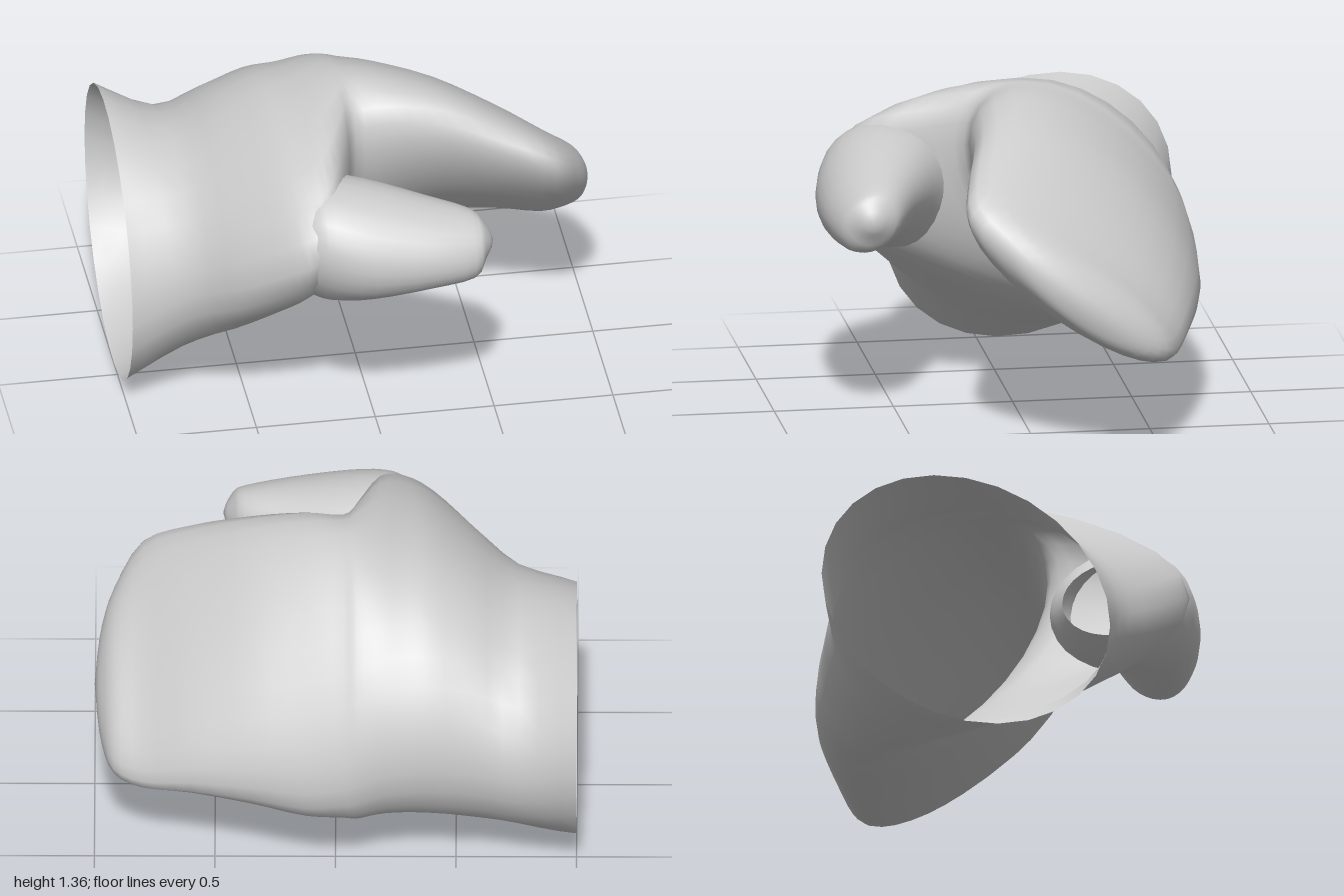
import * as THREE from 'three';

const SIDES = 28;
// the cuff is open, so the inside shows too
const material = new THREE.MeshStandardMaterial({ color: 0xcccccc, side: THREE.DoubleSide });

// Smooth skin through leaning oval sections set across the x axis.
// Each section: [x, centre z, half width z, centre y, half height y, lean, bulge to the front]
function loft(sections, steps) {
  const ease = (a, b, c, d, t) => 0.5 * (2 * b + (c - a) * t +
    (2 * a - 5 * b + 4 * c - d) * t * t + (3 * b - a - 3 * c + d) * t * t * t);
  const rows = [];
  const last = sections.length - 1;
  for (let i = 0; i < last; i++) {
    const p = [i - 1, i, i + 1, i + 2].map(k => sections[Math.min(Math.max(k, 0), last)]);
    for (let s = 0; s < steps; s++) {
      rows.push(p[1].map((_, k) => ease(p[0][k], p[1][k], p[2][k], p[3][k], s / steps)));
    }
  }
  rows.push(sections[last]);

  const positions = [], index = [];
  rows.forEach(([x, cz, hz, cy, hy, lean, bulge], i) => {
    for (let j = 0; j < SIDES; j++) {
      const t = (j / SIDES) * Math.PI * 2;
      const front = Math.max(0, Math.cos(t));
      positions.push(x, cy + hy * Math.sin(t + lean), cz + hz * Math.cos(t) + bulge * front * front);
      if (i === rows.length - 1) continue;
      const a = i * SIDES + j, b = i * SIDES + (j + 1) % SIDES;
      index.push(a, a + SIDES, b, b, a + SIDES, b + SIDES);
    }
  });

  // close the tip with a fan
  const end = rows[rows.length - 1], tip = rows.length * SIDES;
  positions.push(end[0] + 0.01, end[3], end[1]);
  for (let j = 0; j < SIDES; j++) {
    index.push(tip, tip - SIDES + (j + 1) % SIDES, tip - SIDES + j);
  }

  const geometry = new THREE.BufferGeometry();
  geometry.setAttribute('position', new THREE.Float32BufferAttribute(positions, 3));
  geometry.setIndex(index);
  geometry.computeVertexNormals();
  return geometry;
}

export function createModel() {
  const model = new THREE.Group();
  model.name = 'mitten';
  const add = (name, geometry) => {
    const mesh = new THREE.Mesh(geometry, material);
    mesh.name = name;
    model.add(mesh);
  };

  // open cuff, palm swelling into the thumb base, and the curled finger pocket
  add('handAndFingers', loft([
    [-1.00, -0.22, 0.60, 0.565, 0.565, -0.18, 0],
    [-0.76, -0.18, 0.59, 0.60, 0.48, 0.05, 0.03],
    [-0.57, -0.20, 0.55, 0.68, 0.51, 0.14, 0.25],
    [-0.40, -0.22, 0.54, 0.75, 0.53, 0.23, 0.40],
    [-0.28, -0.235, 0.53, 0.78, 0.53, 0.30, 0.46],
    [-0.18, -0.265, 0.505, 0.805, 0.535, 0.38, 0.42],
    [-0.09, -0.29, 0.49, 0.82, 0.54, 0.48, 0.16],
    [-0.03, -0.29, 0.49, 0.83, 0.53, 0.55, 0],
    [0.12, -0.285, 0.485, 0.835, 0.515, 0.65, 0],
    [0.35, -0.255, 0.475, 0.835, 0.455, 0.75, 0],
    [0.60, -0.19, 0.47, 0.79, 0.39, 0.85, 0],
    [0.80, -0.14, 0.44, 0.725, 0.345, 0.95, 0],
    [0.92, -0.18, 0.33, 0.67, 0.26, 0.95, 0],
    [0.97, -0.18, 0.21, 0.65, 0.17, 0.95, 0],
    [0.99, -0.18, 0.10, 0.65, 0.08, 0.95, 0],
  ], 3));

  // thumb, growing out of the swollen front of the palm
  add('thumb', loft([
    [-0.40, 0.44, 0.22, 0.87, 0.17, 0.2, 0],
    [-0.29, 0.46, 0.28, 0.89, 0.25, 0.2, 0],
    [-0.20, 0.49, 0.295, 0.90, 0.27, 0.1, 0],
    [-0.04, 0.56, 0.26, 0.92, 0.235, -0.1, 0],
    [0.20, 0.625, 0.195, 0.92, 0.175, -0.2, 0],
    [0.38, 0.65, 0.135, 0.91, 0.135, -0.2, 0],
    [0.43, 0.65, 0.085, 0.92, 0.085, 0, 0],
    [0.46, 0.65, 0.035, 0.92, 0.035, 0, 0],
  ], 3));

  return model;
}
